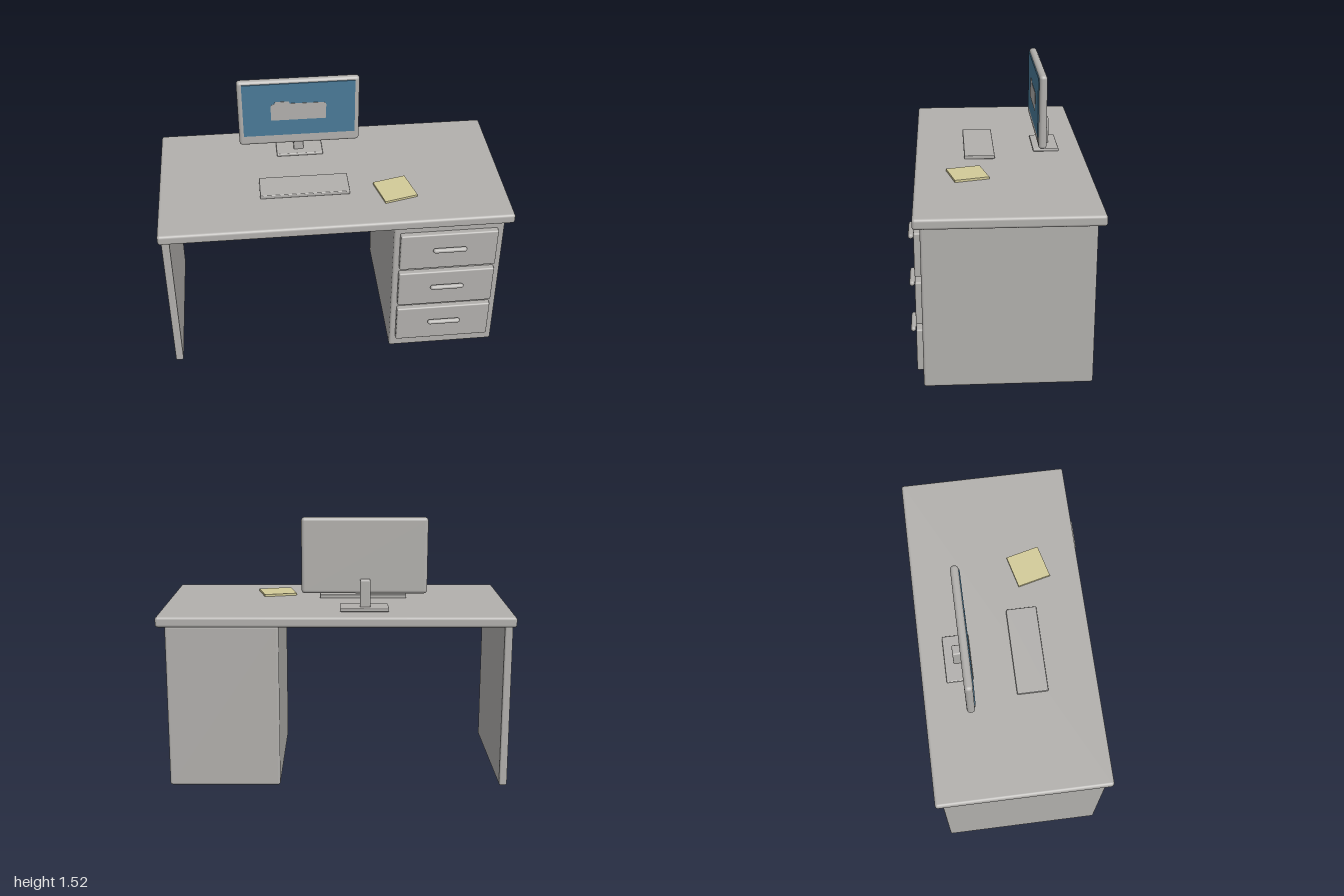
import * as THREE from 'three';
import { RoundedBoxGeometry } from 'three/addons/geometries/RoundedBoxGeometry.js';

const mat = (name, color) => {
  const m = new THREE.MeshStandardMaterial({ color });
  m.name = name;
  return m;
};

export function createModel() {
  const grey = mat('warm grey', 0xb2b0ad);
  const blue = mat('screen blue', 0x4a7a98);
  const yellow = mat('note yellow', 0xd3cb99);

  const model = new THREE.Group();
  model.name = 'officeDesk';

  const add = (parent, name, geometry, material) => {
    const mesh = new THREE.Mesh(geometry, material);
    mesh.name = name;
    parent.add(mesh);
    return mesh;
  };
  // Rounded box given by its limits on each axis
  const block = (parent, name, [x0, x1], [y0, y1], [z0, z1], radius, material = grey) => {
    const geo = radius
      ? new RoundedBoxGeometry(x1 - x0, y1 - y0, z1 - z0, 3, radius)
      : new THREE.BoxGeometry(x1 - x0, y1 - y0, z1 - z0);
    const mesh = add(parent, name, geo, material);
    mesh.position.set((x0 + x1) / 2, (y0 + y1) / 2, (z0 + z1) / 2);
    return mesh;
  };
  const group = (name) => {
    const g = new THREE.Group();
    g.name = name;
    model.add(g);
    return g;
  };

  // Desk body
  block(model, 'desktop', [-1, 1], [0.94, 1], [-0.515, 0.483], 0.016);
  block(model, 'sidePanel', [-0.985, -0.94], [0, 0.94], [-0.475, 0.445], 0.01);
  block(model, 'drawerCabinet', [0.32, 0.955], [0, 0.94], [-0.475, 0.445], 0.014);

  // Drawers, each with a bar handle standing proud of its front
  for (let i = 0; i < 3; i++) {
    const y = 0.205 + i * 0.28;
    const drawer = group('drawer');
    block(drawer, 'drawerFront', [0.355, 0.916], [y - 0.124, y + 0.124], [0.435, 0.479], 0.009);
    const handle = add(drawer, 'handle', new THREE.CapsuleGeometry(0.0145, 0.168, 5, 14), grey);
    handle.rotation.z = Math.PI / 2;
    handle.position.set(0.637, y + 0.025, 0.5);
  }

  // Monitor on its stand
  const monitor = group('monitor');
  block(monitor, 'monitorBase', [-0.3, -0.022], [1, 1.018], [-0.373, -0.219], 0.006);
  block(monitor, 'monitorPost', [-0.195, -0.136], [1.005, 1.172], [-0.322, -0.267], 0.008);
  block(monitor, 'monitorCase', [-0.52, 0.197], [1.085, 1.52], [-0.278, -0.232], 0.02);
  block(monitor, 'screen', [-0.492, 0.17], [1.153, 1.502], [-0.234, -0.2265], 0, blue);
  block(monitor, 'taskbar', [-0.492, 0.17], [1.122, 1.153], [-0.234, -0.2265], 0);

  // Folder picture on the screen: a plate with a small tab
  const folder = new THREE.Shape();
  folder.moveTo(-0.327, 1.258);
  folder.lineTo(-0.002, 1.258);
  folder.lineTo(0, 1.35);
  folder.quadraticCurveTo(-0.002, 1.368, -0.02, 1.368);
  folder.lineTo(-0.215, 1.37);
  folder.lineTo(-0.22, 1.384);
  folder.lineTo(-0.3, 1.384);
  folder.lineTo(-0.305, 1.37);
  folder.quadraticCurveTo(-0.327, 1.366, -0.327, 1.348);
  folder.closePath();
  const plate = new THREE.ExtrudeGeometry(folder, { depth: 0.003, bevelEnabled: false });
  add(monitor, 'folderIcon', plate, grey).position.z = -0.2275;

  // Things on the desk
  block(model, 'keyboard', [-0.42, 0.097], [1, 1.023], [0.016, 0.195], 0.005);
  const notes = block(model, 'notePad', [0.26, 0.458], [1, 1.013], [0.085, 0.283], 0, yellow);
  notes.rotation.y = THREE.MathUtils.degToRad(14);

  return model;
}
